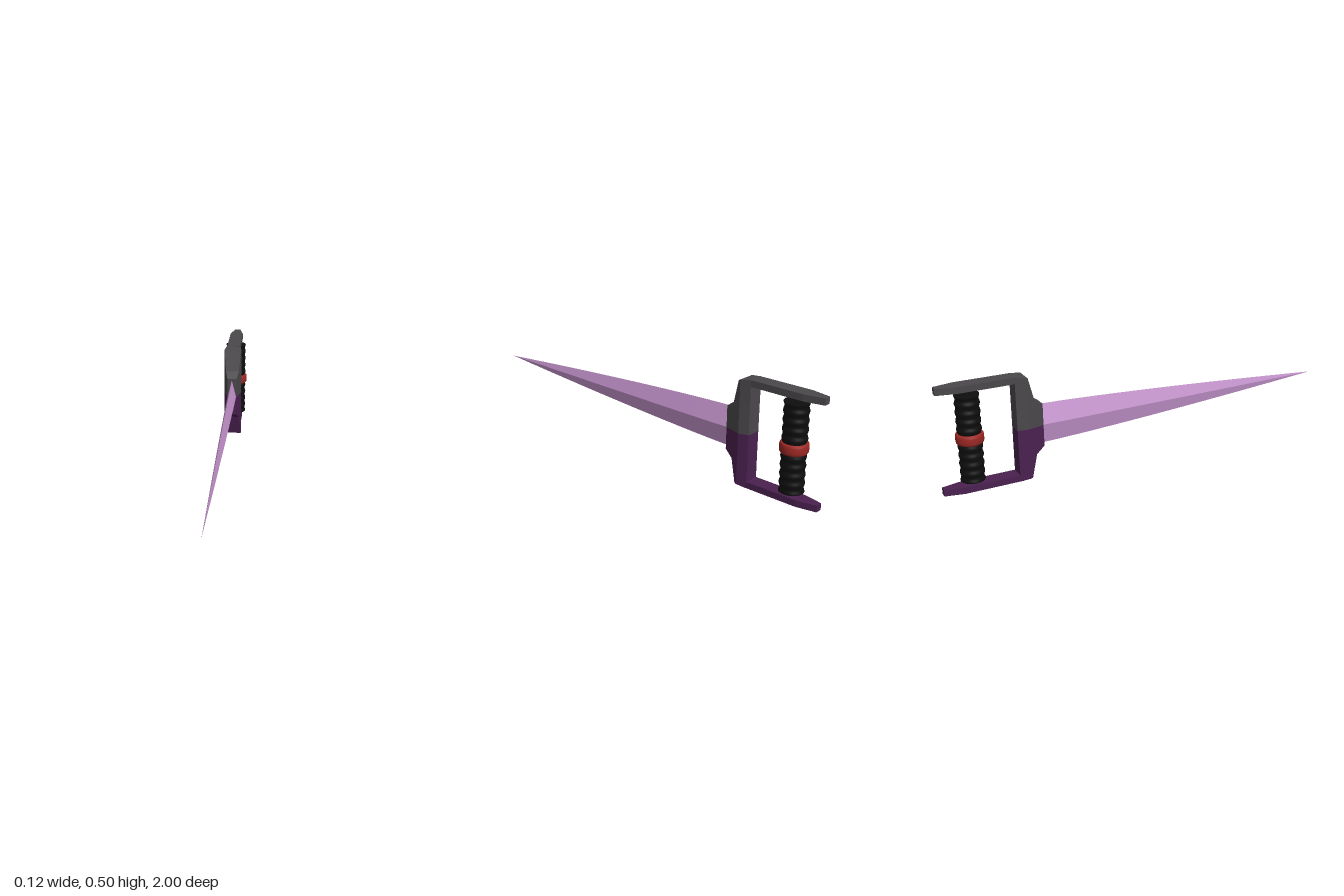
import * as THREE from 'three';

const H = 0.497; // overall height
const MID = H / 2;

const material = (name, color, flatShading = false) => {
  const m = new THREE.MeshStandardMaterial({ color, flatShading });
  m.name = name;
  return m;
};

// Closed solid through a row of equal-length rings of [x, y, z]
function loft(rings) {
  const n = rings[0].length, last = rings.length - 1;
  const pos = [];
  const tri = (...pts) => pts.forEach((p) => pos.push(...p));
  for (let i = 0; i < last; i++) {
    for (let j = 0; j < n; j++) {
      const k = (j + 1) % n;
      const [a, b, c, d] = [rings[i][j], rings[i][k], rings[i + 1][k], rings[i + 1][j]];
      tri(a, b, c);
      tri(a, c, d);
    }
  }
  for (let j = 1; j < n - 1; j++) {
    tri(rings[last][0], rings[last][j], rings[last][j + 1]);
    tri(rings[0][0], rings[0][j + 1], rings[0][j]);
  }
  const g = new THREE.BufferGeometry();
  g.setAttribute('position', new THREE.Float32BufferAttribute(pos, 3));
  g.computeVertexNormals();
  return g;
}

// Symmetric six-sided ring from [halfWidth, y, z] at front, middle and back
const hexRing = (f, m, b) => [
  m, b, [-b[0], b[1], b[2]], [-m[0], m[1], m[2]], [-f[0], f[1], f[2]], f,
];

const mirrorY = (rings) =>
  rings.map((r) => r.map(([x, y, z]) => [x, H - y, z])).reverse();

export function createModel() {
  const group = new THREE.Group();
  const grey = material('dark grey metal', 0x4b484b, true);
  const purple = material('deep purple metal', 0x4a2150, true);
  const pink = material('pink blade', 0xca98d2, true);
  const black = material('black grip', 0x0e0e0e);
  const red = material('red band', 0x9c2824);

  const add = (name, geometry, mat) => {
    const mesh = new THREE.Mesh(geometry, mat);
    mesh.name = name;
    group.add(mesh);
    return mesh;
  };

  // Upper half of the guard, widening toward its top
  const guard = [
    [0.024, MID, -0.53],
    [0.024, 0.35, -0.53],
    [0.035, 0.38, -0.572],
  ].map(([w, y, z]) => hexRing([w, y, z], [0.046, y, -0.61], [0.035, y, -0.657]));
  guard.push(hexRing([0.044, 0.487, -0.6], [0.046, 0.489, -0.61], [0.036, H, -0.657]));

  // Arm running back from the guard, narrowing at its end
  const arm = [0.467, H].map((y) =>
    hexRing([0.035, y, -0.65], [0.035, y, -0.91], [0.016, y, -1]));

  add('upperGuard', loft(guard), grey);
  add('lowerGuard', loft(mirrorY(guard)), purple);
  add('upperArm', loft(arm), grey);
  add('lowerArm', loft(mirrorY(arm)), purple);

  // Diamond-section blade tapering to the point
  const blade = [];
  const slices = 16;
  for (let i = 0; i <= slices; i++) {
    const t = i / slices;
    const s = Math.max(1 - t ** 1.3, 0.002);
    const z = -0.535 + 1.535 * t;
    const w = 0.023 * s, h = 0.095 * s;
    blade.push([[w, MID, z], [0, MID + h, z], [-w, MID, z], [0, MID - h, z]]);
  }
  add('blade', loft(blade), pink);

  // Ribbed grip between the arms
  const profile = [new THREE.Vector2(0, -0.2)];
  for (let i = 0; i <= 60; i++) {
    const y = -0.2 + (0.4 * i) / 60;
    profile.push(new THREE.Vector2(0.0525 + 0.0025 * Math.cos(y * Math.PI * 2 / 0.04), y));
  }
  profile.push(new THREE.Vector2(0, 0.2));
  add('grip', new THREE.LatheGeometry(profile, 32), black).position.set(0, MID, -0.863);

  // Rounded band around the middle of the grip
  const band = [
    [0.05, -0.024], [0.057, -0.023], [0.0605, -0.018], [0.062, -0.009],
    [0.062, 0.009], [0.0605, 0.018], [0.057, 0.023], [0.05, 0.024],
  ].map(([r, y]) => new THREE.Vector2(r, y));
  add('gripBand', new THREE.LatheGeometry(band, 32), red).position.set(0, MID, -0.863);

  return group;
}
